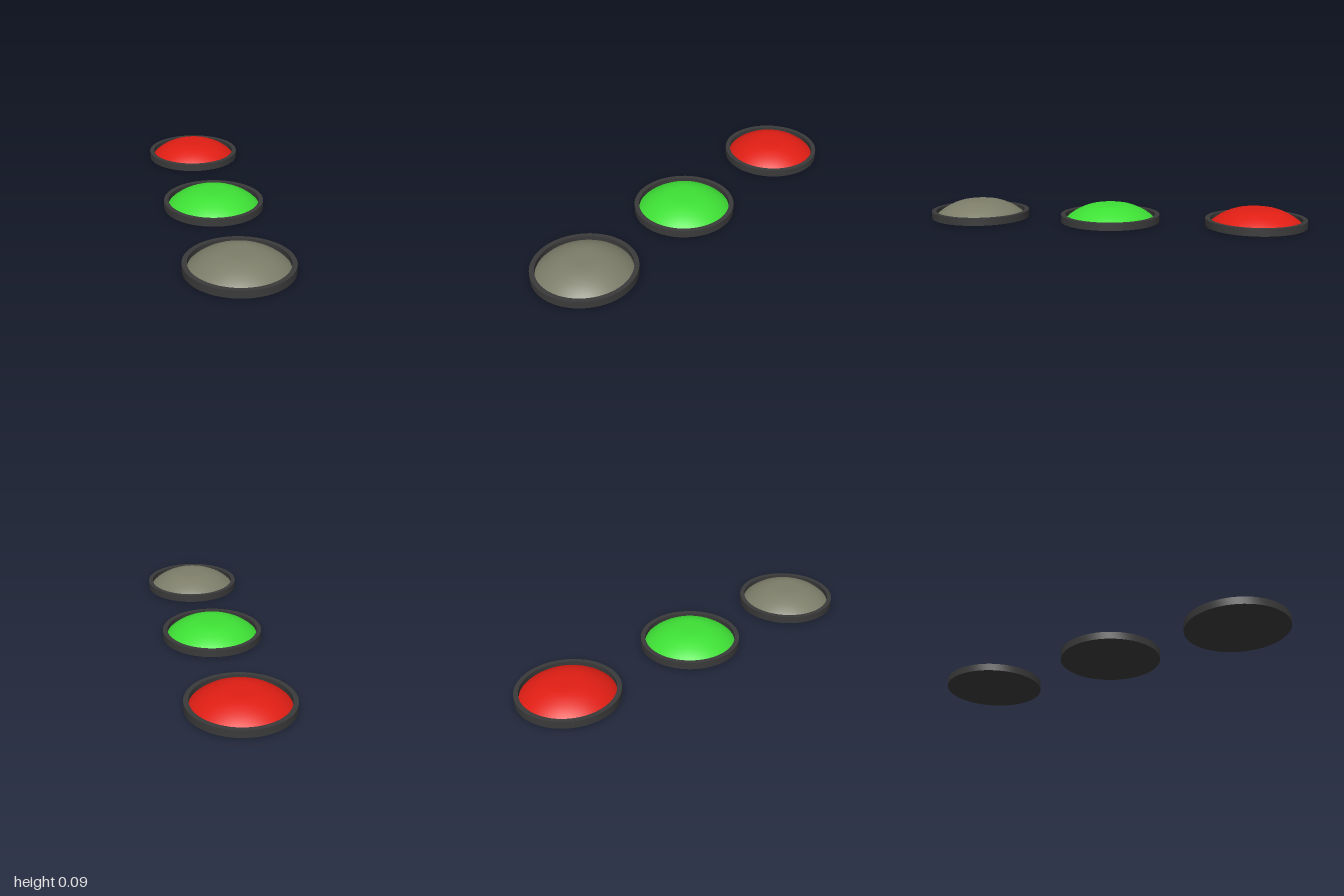
import * as THREE from 'three';
import { toCreasedNormals } from 'three/addons/utils/BufferGeometryUtils.js';

const SEGMENTS = 64;
const vec = ([r, y]) => new THREE.Vector2(r, y);

// Shallow dish with an upright rim, revolved from bottom centre to floor centre
function trayGeometry() {
  const profile = [[0, 0], [0.261, 0], [0.261, 0.038], [0.237, 0.038], [0.237, 0.012], [0, 0.012]];
  return toCreasedNormals(new THREE.LatheGeometry(profile.map(vec), SEGMENTS), 0.6);
}

// Flat-topped lens dome sitting inside the rim
function lensGeometry() {
  const profile = [
    [0.237, 0.012], [0.223, 0.026], [0.207, 0.038], [0.19, 0.05], [0.168, 0.062],
    [0.142, 0.074], [0.113, 0.084], [0.085, 0.0895], [0.06, 0.092], [0, 0.0925],
  ];
  return new THREE.LatheGeometry(profile.map(vec), SEGMENTS);
}

export function createModel() {
  const model = new THREE.Group();
  model.name = 'signalLights';

  const tray = trayGeometry();
  const lens = lensGeometry();
  const trayMaterial = new THREE.MeshStandardMaterial({ color: 0x3a3a3a });

  const lights = [
    { name: 'greyLight', z: 0.739, color: 0x7d7d6a },
    { name: 'greenLight', z: 0.024, color: 0x3ee035 },
    { name: 'redLight', z: -0.739, color: 0xe01e14 },
  ];

  for (const { name, z, color } of lights) {
    const light = new THREE.Group();
    light.name = name;
    light.position.z = z;

    const rim = new THREE.Mesh(tray, trayMaterial);
    rim.name = 'rimTray';
    const dome = new THREE.Mesh(lens, new THREE.MeshStandardMaterial({ color }));
    dome.name = 'lensDome';

    light.add(rim, dome);
    model.add(light);
  }
  return model;
}
